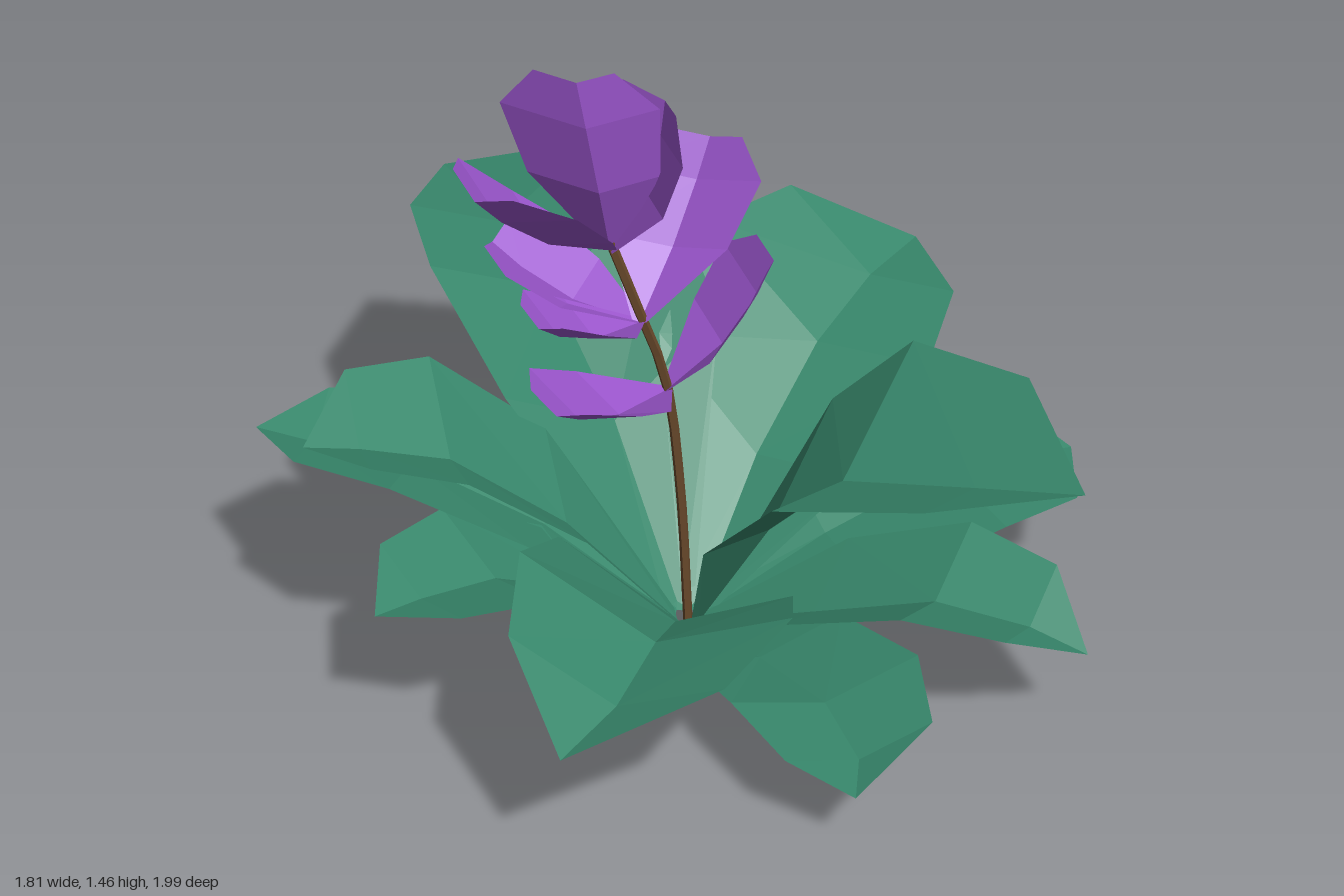
import * as THREE from 'three';

const V = (x, y, z) => new THREE.Vector3(x, y, z);
const mat = (name, color) => {
  const m = new THREE.MeshStandardMaterial({ color, side: THREE.DoubleSide, flatShading: true });
  m.name = name;
  return m;
};

// Folded blade from rows of [left edge, midrib, right edge]
function blade(rows) {
  const p = [];
  const tri = (a, b, c) => [a, b, c].forEach(v => p.push(v.x, v.y, v.z));
  for (let i = 0; i < rows.length - 1; i++) {
    for (let j = 0; j < 2; j++) {
      const a = rows[i][j], b = rows[i][j + 1], c = rows[i + 1][j], d = rows[i + 1][j + 1];
      tri(a, b, d);
      if (c.distanceTo(d) > 1e-5) tri(a, d, c);
    }
  }
  const g = new THREE.BufferGeometry();
  g.setAttribute('position', new THREE.Float32BufferAttribute(p, 3));
  g.computeVertexNormals();
  return g;
}

// Leaf: midrib heights at stations; fold lifts both edges, roll tilts, bend curves sideways
function leafGeometry(tip, stations, heights, width, fold, roll, bend) {
  const base = V(-0.13, 0.02, 0.13);
  const end = V(...tip);
  const dir = end.clone().sub(base).setY(0).normalize();
  const side = V(-dir.z, 0, dir.x);
  const ts = [0.03, ...stations, 1];
  const ws = [0.12, 0.9, 1, 0.77, 0];
  const lifts = [0.1, 1, 1, 0.75, 0];
  const bends = [0, 0.6, 1, 0.8, 0];
  const ys = [0.02, ...heights, tip[1]];
  return blade(ts.map((t, i) => [-1, 0, 1].map(s => {
    const v = base.clone().lerp(end, t).addScaledVector(side, s * ws[i] * width + bends[i] * bend);
    v.y = ys[i] + lifts[i] * (Math.abs(s) * fold + s * roll);
    return v;
  })));
}

// Petal: blunt blade, cupped towards its upper face
function petalGeometry(base, tip, width, sideDir) {
  const a = V(...base), b = V(...tip);
  const dir = b.clone().sub(a).normalize();
  const side = (sideDir ? V(...sideDir) : V(-dir.z, 0, dir.x)).normalize();
  const normal = side.clone().cross(dir).normalize();
  const ts = [0, 0.42, 0.78, 1];
  const ws = [0.1, 0.85, 1, 0.5];
  const bow = [0, -0.03, -0.02, 0];
  return blade(ts.map((t, i) => [-1, 0, 1].map(s =>
    a.clone().lerp(b, t)
      .addScaledVector(side, s * ws[i] * width)
      .addScaledVector(normal, bow[i] + Math.abs(s) * ws[i] * width * 0.4))));
}

export function createModel() {
  const root = new THREE.Group();
  root.name = 'floweringPlant';
  const green = mat('leafGreen', 0x38886c);
  const purple = mat('petalPurple', 0x9a55cc);
  const brown = mat('stemBrown', 0x6a4a2c);
  const add = (parent, name, geo, m) => {
    const mesh = new THREE.Mesh(geo, m);
    mesh.name = name;
    parent.add(mesh);
  };

  // Leaves: tip, stations, midrib heights, half width, fold, roll, bend
  const leaves = new THREE.Group();
  leaves.name = 'leaves';
  root.add(leaves);
  const blunt = [0.33, 0.63, 0.86];
  [
    // large upper leaves
    ['backLeaf', [0.08, 0.64, -1], [0.28, 0.53, 0.74], [0.36, 0.56, 0.62], 0.3, 0.17, 0.03, 0],
    ['frontLeaf', [0.16, 0.64, 0.99], [0.22, 0.41, 0.74], [0.32, 0.5, 0.58], 0.31, 0.14, -0.04, 0],
    ['leftLeaf', [0.9, 0.47, -0.22], [0.28, 0.54, 0.78], [0.28, 0.43, 0.48], 0.28, 0.13, -0.11, 0],
    ['rightFrontLeaf', [-0.91, 0.34, 0.66], [0.28, 0.55, 0.8], [0.2, 0.33, 0.34], 0.28, 0.14, 0.03, -0.07],
    ['rightBackLeaf', [-0.85, 0.58, -0.25], blunt, [0.32, 0.52, 0.57], 0.26, 0.1, 0, -0.02],
    // small lower leaves
    ['lowerLeftFrontLeaf', [0.81, 0.2, 0.39], blunt, [0.17, 0.27, 0.24], 0.26, 0.05, -0.05, 0.05],
    ['lowerRightBackLeaf', [-0.75, 0.43, -0.59], blunt, [0.25, 0.39, 0.42], 0.2, 0.06, 0, -0.03],
    ['lowerRightLeaf', [-0.9, 0.34, 0.05], blunt, [0.2, 0.32, 0.34], 0.21, 0.06, 0, 0],
    ['lowerRightFrontLeaf', [-0.4, 0.15, 0.94], blunt, [0.09, 0.14, 0.14], 0.21, 0.06, 0, -0.08],
    ['lowerFrontLeaf', [0.23, 0.21, 0.97], blunt, [0.13, 0.24, 0.24], 0.2, 0.08, 0, 0],
    ['lowerLeftBackLeaf', [0.34, 0.17, -0.47], blunt, [0.12, 0.25, 0.23], 0.2, 0.08, 0, 0],
  ].forEach(([name, ...args]) => add(leaves, name, leafGeometry(...args), green));

  // Leaning stem
  const path = new THREE.CatmullRomCurve3([
    V(-0.13, 0.01, 0.13), V(-0.15, 0.35, 0.13), V(-0.19, 0.65, 0.13),
    V(-0.26, 0.84, 0.13), V(-0.32, 1.02, 0.11),
  ]);
  add(root, 'stem', new THREE.TubeGeometry(path, 10, 0.011, 5), brown);

  // Petals in three tiers: base, tip, half width, optional side direction
  const flower = new THREE.Group();
  flower.name = 'flower';
  root.add(flower);
  const top = [-0.32, 1.0, 0.11], middle = [-0.26, 0.82, 0.13], low = [-0.19, 0.63, 0.13];
  [
    [top, [-0.47, 1.45, 0.2], 0.16, [-0.8, 0.15, -0.4]],
    [top, [-0.66, 1.23, 0.12], 0.18],
    [top, [-0.19, 1.3, 0.13], 0.2],
    [middle, [0, 1.13, 0.05], 0.15, [0.55, 0, 0.85]],
    [middle, [-0.53, 0.91, 0.14], 0.13],
    [middle, [-0.42, 0.95, -0.15], 0.13],
    [low, [0, 0.92, 0.25], 0.16, [-0.55, 0, 0.8]],
    [low, [-0.53, 0.73, 0.19], 0.15],
  ].forEach((args, i) => add(flower, 'petal' + (i + 1), petalGeometry(...args), purple));

  return root;
}
